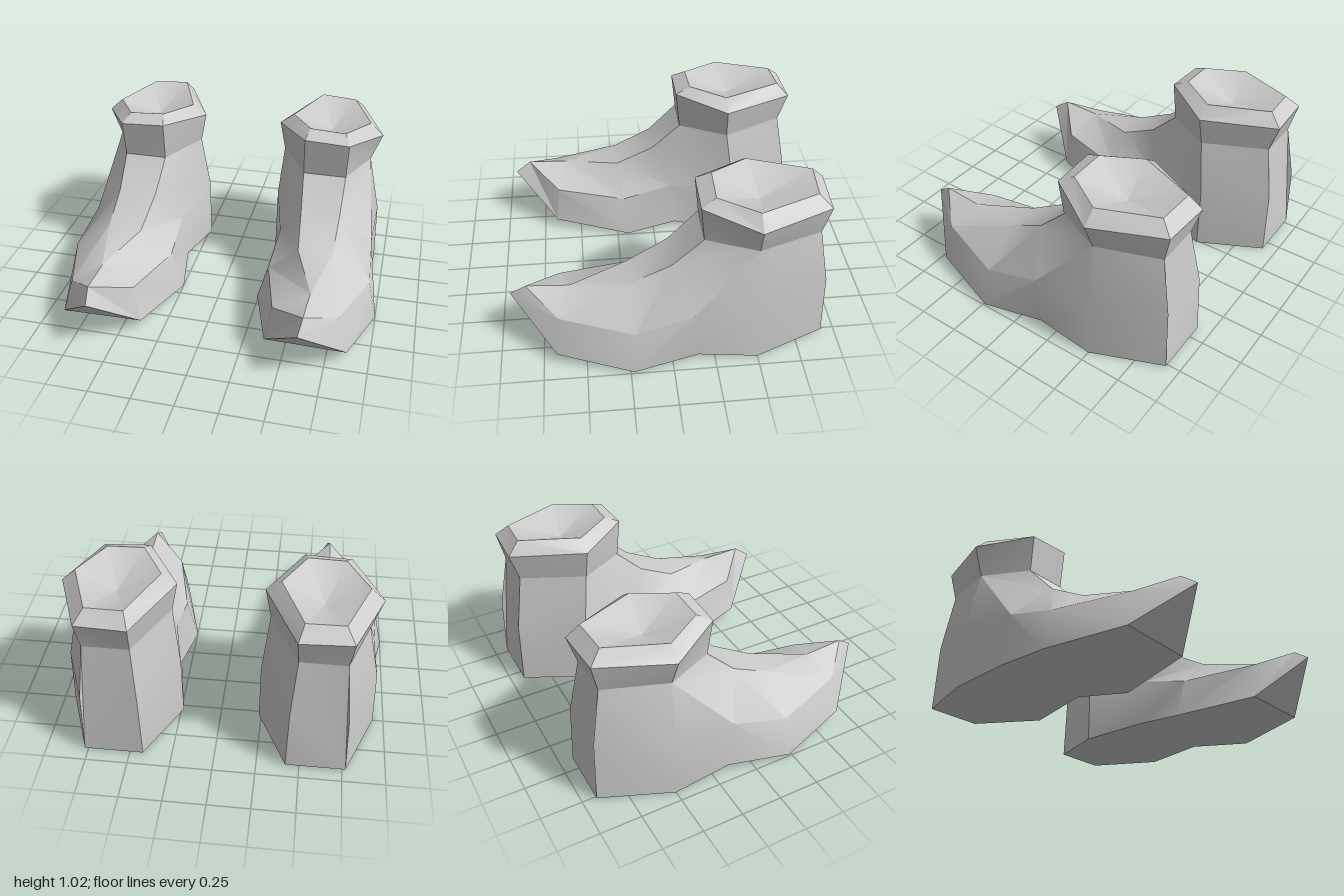
import * as THREE from 'three';
import { toCreasedNormals } from 'three/addons/utils/BufferGeometryUtils.js';

const leather = new THREE.MeshStandardMaterial({ color: 0xcccccc });
leather.name = 'greyLeather';

// Foot sections from toe to heel, each a ring:
// sole, welt, upper and instep on the outer side, then back down the inner side
const toeTip = [0.61, 0.33, 0.925], toeTop = [0.625, 0.395, 0.83];
const ridge = [0.63, 0.382, 0.58];
const strip = (outer, inner) => [outer, outer, inner, inner];
const footRings = [
  [toeTip, toeTop, ...strip(toeTop, toeTop), toeTop, toeTip],
  [[0.87, 0.065, 0.67], [0.805, 0.29, 0.65], ...strip(ridge, ridge), [0.42, 0.29, 0.64], [0.38, 0.065, 0.66]],
  [[1, 0.012, 0.23], [0.945, 0.26, 0.22],
    ...strip([0.71, 0.44, 0.23], [0.5, 0.43, 0.23]), [0.315, 0.26, 0.2], [0.245, 0.012, 0.18]],
  [[0.93, 0.045, -0.15], [0.92, 0.345, -0.12],
    ...strip([0.715, 0.56, -0.01], [0.475, 0.56, -0.01]), [0.33, 0.34, -0.12], [0.305, 0.045, -0.15]],
  [[0.935, 0, -0.5], [0.925, 0.375, -0.5], [0.85, 0.745, -0.48], [0.72, 0.74, -0.19],
    [0.455, 0.74, -0.19], [0.285, 0.755, -0.48], [0.24, 0.39, -0.53], [0.235, 0, -0.53]],
  [[0.77, 0.01, -0.92], [0.76, 0.41, -0.91],
    ...strip([0.73, 0.755, -0.85], [0.46, 0.755, -0.85]), [0.43, 0.41, -0.91], [0.42, 0.01, -0.92]],
];

// Collar hexagons: ankle seam, flared edge, rim, and the middle of the hollow
const collarRings = [
  [[0.72, 0.74, -0.19], [0.455, 0.74, -0.19], [0.285, 0.755, -0.48],
    [0.46, 0.755, -0.85], [0.73, 0.755, -0.85], [0.85, 0.745, -0.48]],
  [[0.73, 0.965, -0.165], [0.455, 0.978, -0.165], [0.25, 0.94, -0.475],
    [0.45, 0.93, -0.905], [0.75, 0.93, -0.89], [0.915, 0.918, -0.475]],
  [[0.695, 1.01, -0.25], [0.475, 1.02, -0.255], [0.337, 1.005, -0.475],
    [0.48, 1.01, -0.83], [0.7, 1.0, -0.815], [0.832, 0.995, -0.475]],
  Array(6).fill([0.585, 0.9, -0.52]),
];

// Skins consecutive rings; side = -1 mirrors the part and its winding
function loft(rings, side, capEnd) {
  const positions = [];
  const same = (p, q) => p.every((v, i) => v === q[i]);
  const tri = (a, b, c) => {
    if (same(a, b) || same(b, c) || same(a, c)) return;
    for (const p of side > 0 ? [a, b, c] : [a, c, b]) positions.push(side * p[0], p[1], p[2]);
  };
  for (let i = 0; i < rings.length - 1; i++) {
    const n = rings[i].length;
    for (let j = 0; j < n; j++) {
      const k = (j + 1) % n;
      const a = rings[i][j], b = rings[i][k], c = rings[i + 1][k], d = rings[i + 1][j];
      tri(a, d, c);
      tri(a, c, b);
    }
  }
  if (capEnd) {
    const end = rings[rings.length - 1];
    for (let j = 1; j < end.length - 1; j++) tri(end[0], end[j + 1], end[j]);
  }
  const geometry = new THREE.BufferGeometry();
  geometry.setAttribute('position', new THREE.Float32BufferAttribute(positions, 3));
  return toCreasedNormals(geometry, Math.PI / 6);
}

function part(name, geometry) {
  const mesh = new THREE.Mesh(geometry, leather);
  mesh.name = name;
  return mesh;
}

export function createModel() {
  const model = new THREE.Group();
  model.name = 'pairOfBoots';
  for (const [name, side] of [['left', 1], ['right', -1]]) {
    const boot = new THREE.Group();
    boot.name = name + 'Boot';
    boot.add(part(name + 'Foot', loft(footRings, side, true)));
    boot.add(part(name + 'Collar', loft(collarRings, side, false)));
    model.add(boot);
  }
  return model;
}
